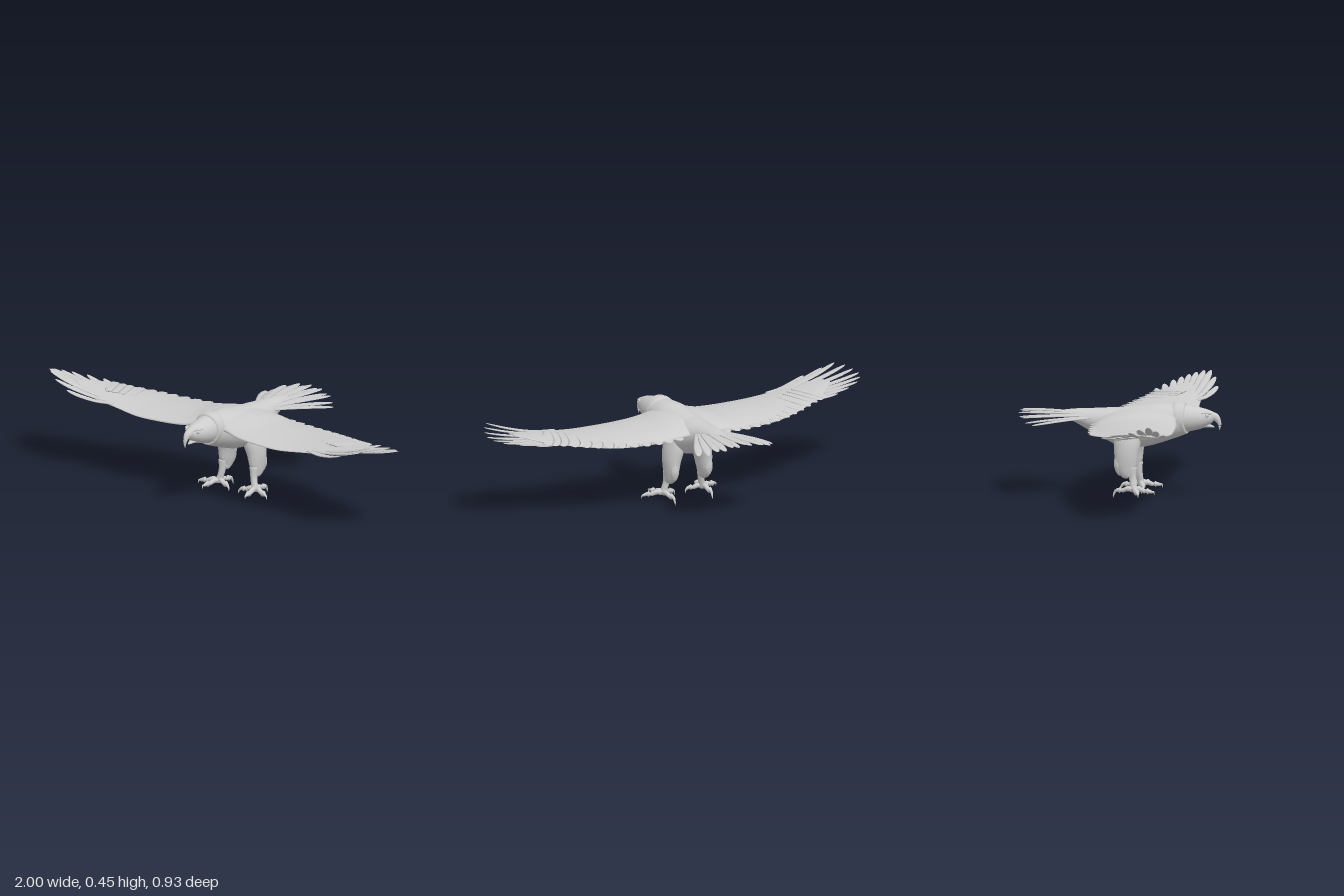
import * as THREE from 'three';

const mat = new THREE.MeshStandardMaterial({ color: 0xcccccc, side: THREE.DoubleSide });
const UP = new THREE.Vector3(0, 1, 0);

// Smooth loft through sections [x, y, z, half width, half height]; oval rings
// are placed square to the path, with the height direction closest to `up`.
function sweep(sections, { up = UP, sides = 16, steps = 24 } = {}) {
  const path = new THREE.CatmullRomCurve3(sections.map(s => new THREE.Vector3(s[0], s[1], s[2])));
  const size = new THREE.CatmullRomCurve3(sections.map(s => new THREE.Vector3(s[3], s[4], 0)));
  const pos = [], idx = [];
  for (let i = 0; i <= steps; i++) {
    const p = path.getPoint(i / steps), r = size.getPoint(i / steps), t = path.getTangent(i / steps);
    const side = t.clone().cross(up).normalize(), top = side.clone().cross(t);
    for (let j = 0; j < sides; j++) {
      const a = j / sides * Math.PI * 2;
      const q = p.clone().addScaledVector(side, Math.cos(a) * Math.max(r.x, 0.0004))
        .addScaledVector(top, Math.sin(a) * Math.max(r.y, 0.0004));
      pos.push(q.x, q.y, q.z);
      if (i < steps) {
        const k = (j + 1) % sides, A = i * sides + j, B = i * sides + k;
        idx.push(A, A + sides, B, B, A + sides, B + sides);
      }
    }
  }
  // end caps
  const n = pos.length / 3, first = path.getPoint(0), last = path.getPoint(1);
  pos.push(first.x, first.y, first.z, last.x, last.y, last.z);
  for (let j = 0; j < sides; j++) {
    const k = (j + 1) % sides, e = steps * sides;
    idx.push(n, j, k, n + 1, e + k, e + j);
  }
  const g = new THREE.BufferGeometry();
  g.setAttribute('position', new THREE.Float32BufferAttribute(pos, 3));
  g.setIndex(idx);
  g.computeVertexNormals();
  return g;
}

function add(parent, name, geometry) {
  const m = new THREE.Mesh(geometry, mat);
  m.name = name;
  parent.add(m);
  return m;
}

// Flat rounded blade from base to tip, bowed slightly upwards
function feather(base, tip, w, bow = 0.004) {
  const at = (t, width, h) => [0, 1, 2].map(i =>
    base[i] + (tip[i] - base[i]) * t + (i === 1 ? bow * 4 * t * (1 - t) : 0)).concat([width * w, h]);
  return sweep([at(0, 0.5, 0.004), at(0.35, 0.85, 0.004), at(0.7, 1, 0.0035),
    at(0.9, 0.75, 0.003), at(0.97, 0.45, 0.002), at(1, 0.08, 0.001)], { sides: 8, steps: 16 });
}

function makeWing(s) {
  const wing = new THREE.Group();
  wing.name = s > 0 ? 'leftWing' : 'rightWing';
  // main panel, with leading and trailing edges drooped
  const rows = [[0, .378, .09, .185, .035], [.1, .37, .09, .185, .03], [.2, .358, .1, .19, .02],
    [.4, .354, .117, .185, .014], [.55, .362, .135, .155, .011], [.68, .376, .165, .122, .009],
    [.78, .39, .195, .085, .006], [.84, .4, .205, .04, .003]];
  const panel = sweep(rows.map(r => [s * r[0], r[1], r[2], r[3], r[4]]), { sides: 28, steps: 36 });
  const p = panel.attributes.position;
  for (let i = 0; i < p.count; i++) {
    const d = (p.getZ(i) - 0.13) / 0.19;
    p.setY(i, p.getY(i) - 0.018 * Math.min(d * d, 1.5));
  }
  panel.computeVertexNormals();
  add(wing, 'wingPanel', panel);

  // trailing edge feathers
  const edge = new THREE.CatmullRomCurve3([[.13, .338, -.115], [.24, .334, -.11], [.36, .335, -.092],
    [.48, .342, -.065], [.58, .352, -.03], [.68, .364, .012], [.75, .372, .035]]
    .map(a => new THREE.Vector3(...a)));
  for (let i = 0; i < 13; i++) {
    const t = edge.getPoint(i / 12);
    add(wing, 'secondaryFeather', feather(
      [s * (t.x - 0.02 - 0.07 * i / 12), t.y + 0.014, t.z + 0.16], [s * t.x, t.y, t.z], 0.031));
  }
  // spread feathers of the wing tip
  const tips = [[.80, .395, .325], [.885, .425, .302], [.935, .448, .275], [.97, .442, .238], [.99, .43, .2],
    [1, .418, .165], [.985, .408, .132], [.95, .398, .1], [.885, .388, .068], [.81, .378, .042]];
  tips.forEach(([x, y, z], i) => {
    const k = i / (tips.length - 1);
    add(wing, 'primaryFeather', feather([s * (.57 + .03 * Math.sin(k * Math.PI)), .362, .272 - .15 * k],
      [s * x, y, z], 0.019, -0.012));
  });
  return wing;
}

function makeLeg(s) {
  const leg = new THREE.Group();
  leg.name = s > 0 ? 'leftLeg' : 'rightLeg';
  const m = a => a.map(r => [s * r[0], ...r.slice(1)]);
  const front = new THREE.Vector3(0, 0, 1);
  add(leg, 'thigh', sweep(m([[.065, .33, .05, .03, .06], [.074, .25, .045, .043, .062], [.084, .2, .042, .038, .055],
    [.088, .15, .042, .03, .05], [.09, .118, .048, .023, .037], [.09, .098, .06, .016, .02]]), { up: front }));
  add(leg, 'thighTuft', sweep(m([[.088, .2, .02, .02, .03], [.09, .15, .008, .022, .022],
    [.09, .12, .008, .014, .012], [.09, .102, .012, .002, .002]]), { up: front, sides: 10 }));
  add(leg, 'shank', sweep(m([[.09, .14, .068, .02, .024], [.093, .09, .074, .015, .017],
    [.1, .06, .078, .015, .016], [.108, .034, .082, .016, .018]]), { up: front }));
  // toes: knuckled, ending in a hooked claw
  const ends = [[.125, .02, .178], [.2, .016, .115], [.028, .01, .105], [.1, .001, -.016]];
  ends.forEach(([x, y, z]) => {
    const at = (t, h, r) => [.108 + (x - .108) * t, h, .08 + (z - .08) * t, r, r];
    add(leg, 'toe', sweep(m([at(0, .042, .014), at(.3, .044, .012), at(.55, .036, .01), at(.72, .037, .01),
      at(.86, .034, .007), at(.97, y + .014, .004), at(1, y, .0006)]), { sides: 10 }));
  });
  return leg;
}

export function createModel() {
  const bird = new THREE.Group();
  bird.name = 'bird';

  add(bird, 'body', sweep([[0, .36, .3, .066, .07], [0, .35, .25, .083, .08], [0, .338, .18, .1, .092],
    [0, .322, .1, .104, .097], [0, .318, .02, .1, .092], [0, .33, -.05, .085, .075], [0, .345, -.12, .064, .055],
    [0, .363, -.2, .045, .032], [0, .373, -.28, .025, .012]], { sides: 28, steps: 40 }));

  // head
  const head = new THREE.Group();
  head.name = 'head';
  bird.add(head);
  add(head, 'collar', sweep([[0, .355, .24, .06, .06], [0, .36, .27, .076, .076], [0, .362, .298, .073, .074],
    [0, .362, .306, .06, .06]], { sides: 24 }));
  add(head, 'skull', sweep([[0, .36, .27, .068, .07], [0, .361, .33, .06, .059], [0, .363, .37, .05, .05],
    [0, .369, .41, .035, .035], [0, .373, .43, .021, .021], [0, .373, .438, .008, .008]], { sides: 24 }));
  add(head, 'upperBeak', sweep([[0, .372, .415, .022, .024], [0, .367, .441, .016, .019], [0, .35, .455, .011, .012],
    [0, .33, .461, .006, .007], [0, .309, .459, .0008, .0008]]));
  add(head, 'lowerBeak', sweep([[0, .332, .375, .026, .016], [0, .329, .405, .016, .01],
    [0, .325, .425, .009, .006], [0, .321, .437, .002, .002]]));
  for (const s of [-1, 1]) {
    const eye = add(head, 'eye', new THREE.SphereGeometry(0.009, 16, 12));
    eye.position.set(s * 0.031, 0.378, 0.406);
    add(head, 'brow', sweep([[s * .042, .389, .385, .004, .003], [s * .033, .39, .405, .008, .005],
      [s * .02, .386, .425, .003, .003]], { sides: 8, steps: 10 }));
    bird.add(makeWing(s), makeLeg(s));
  }

  // fanned tail, outer feathers lower and shorter
  const tail = new THREE.Group();
  tail.name = 'tail';
  bird.add(tail);
  for (let i = -6; i <= 6; i++) {
    const u = i / 6, a = Math.abs(u);
    add(tail, 'tailFeather', feather([u * .04, .374 - .014 * a, -.11],
      [u * .198, .384 - .046 * a * a - (i % 2 ? .008 : 0), -.46 + .085 * a ** 3], 0.022));
  }
  return bird;
}
